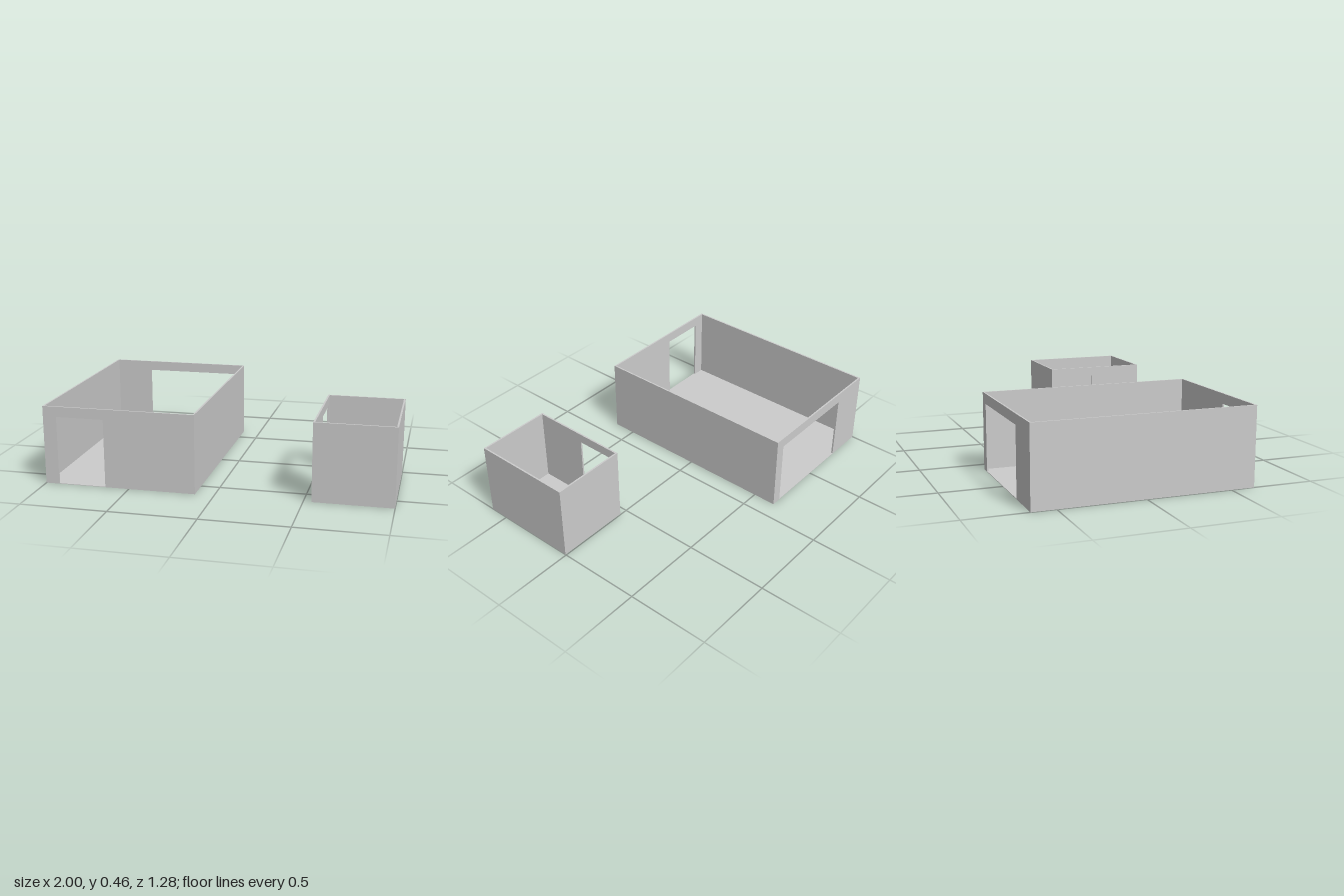
import * as THREE from 'three';

const WALL = 0.01, FLOOR = 0.003;
const material = new THREE.MeshStandardMaterial({ color: 0xcccccc, flatShading: true });

// Upright slab from a to b along its own x, with an optional doorway cut up from the floor
function wallGeometry(a, b, height, door) {
  const s = new THREE.Shape();
  s.moveTo(a, FLOOR);
  if (door) {
    s.lineTo(door.from, FLOOR);
    s.lineTo(door.from, door.top);
    s.lineTo(door.to, door.top);
    s.lineTo(door.to, FLOOR);
  }
  s.lineTo(b, FLOOR);
  s.lineTo(b, height);
  s.lineTo(a, height);
  s.closePath();
  return new THREE.ExtrudeGeometry(s, { depth: WALL, bevelEnabled: false });
}

// Open-topped room: floor slab and four thin walls
function room(name, { x0, x1, z0, z1, height, doors }) {
  const group = new THREE.Group();
  group.name = name;
  const add = (part, geometry) => {
    const mesh = new THREE.Mesh(geometry, material);
    mesh.name = part;
    group.add(mesh);
  };

  add('floor', new THREE.BoxGeometry(x1 - x0, FLOOR, z1 - z0)
    .translate((x0 + x1) / 2, FLOOR / 2, (z0 + z1) / 2));

  // Front and back walls span the full width
  add('frontWall', wallGeometry(x0, x1, height, doors.front).translate(0, 0, z1 - WALL));
  add('backWall', wallGeometry(x0, x1, height, doors.back).translate(0, 0, z0));

  // Side walls fit between them; drawn along -z, then turned to run front to back
  const side = (door) => wallGeometry(-(z1 - WALL), -(z0 + WALL), height,
    door && { from: -door.to, to: -door.from, top: door.top }).rotateY(Math.PI / 2);
  add('rightWall', side(doors.right).translate(x0, 0, 0));
  add('leftWall', side(doors.left).translate(x1 - WALL, 0, 0));
  return group;
}

export function createModel() {
  const model = new THREE.Group();
  model.name = 'rooms';
  model.add(
    room('largeRoom', {
      x0: -1, x1: -0.11, z0: -0.64, z1: 0.64, height: 0.46,
      doors: {
        front: { from: -0.92, to: -0.64, top: 0.4 },
        back: { from: -0.76, to: -0.17, top: 0.4 },
      },
    }),
    room('smallRoom', {
      x0: 0.545, x1: 1, z0: 0.005, z1: 0.618, height: 0.455,
      doors: { right: { from: 0.04, to: 0.29, top: 0.4 } },
    }),
  );
  return model;
}
